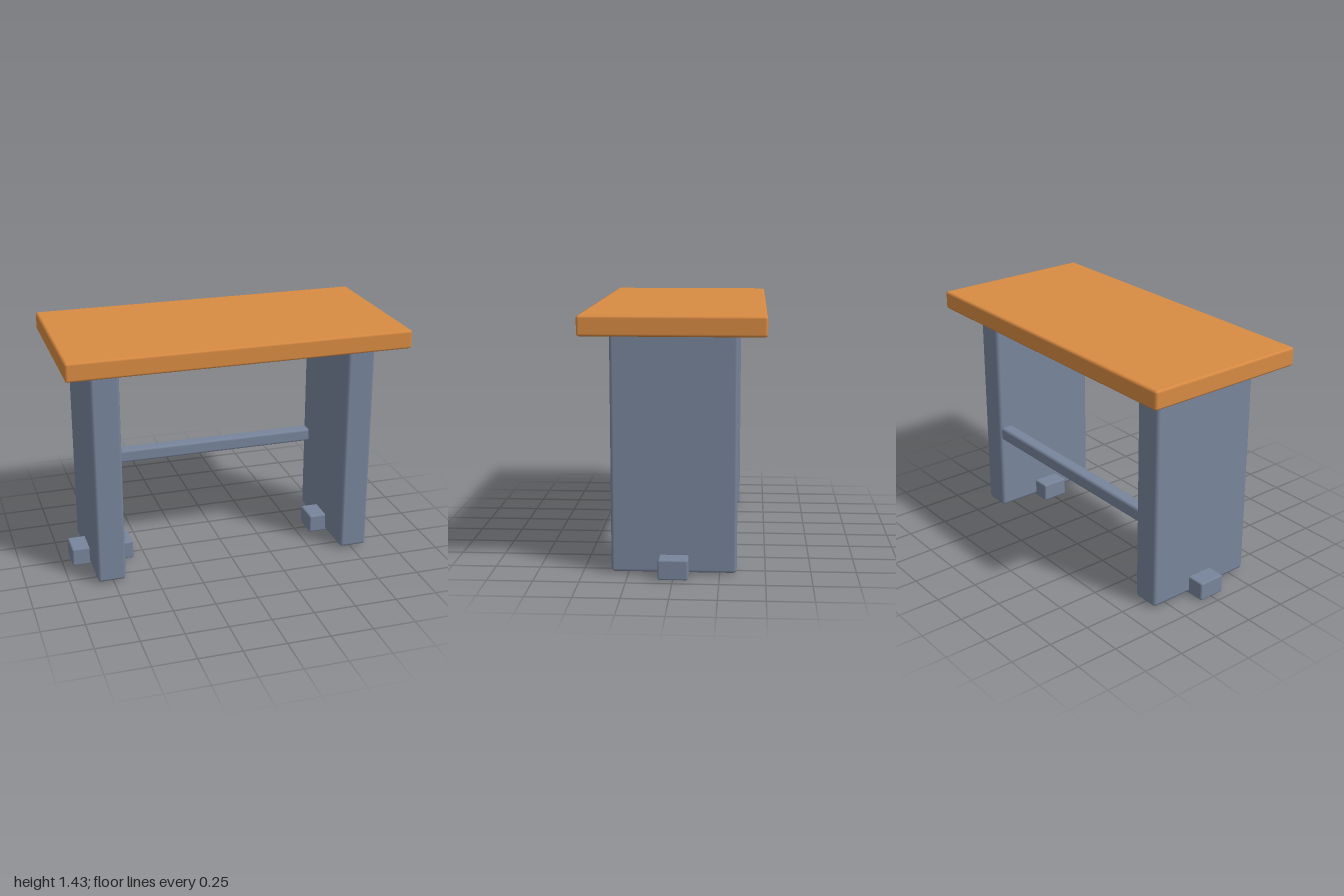
import * as THREE from 'three';
import { RoundedBoxGeometry } from 'three/addons/geometries/RoundedBoxGeometry.js';

export function createModel() {
  const group = new THREE.Group();
  group.name = 'table';

  const wood = new THREE.MeshStandardMaterial({ color: 0xd98b43 });
  wood.name = 'orange wood';
  const metal = new THREE.MeshStandardMaterial({ color: 0x78859c });
  metal.name = 'grey blue metal';

  // Bevelled box given by its minimum and maximum corners
  function block(name, min, max, bevel, material) {
    const size = max.map((v, i) => v - min[i]);
    const mesh = new THREE.Mesh(new RoundedBoxGeometry(...size, 1, bevel), material);
    mesh.position.set(...max.map((v, i) => (v + min[i]) / 2));
    mesh.name = name;
    group.add(mesh);
  }

  // Table top
  block('tableTop', [-1, 1.32, -0.495], [1, 1.43, 0.495], 0.015, wood);

  // Slab legs, each with a foot passing through its base
  for (const [side, x] of [['left', 0.76], ['right', -0.76]]) {
    block(side + 'Leg', [x - 0.083, 0.01, -0.343], [x + 0.083, 1.322, 0.343], 0.018, metal);
    block(side + 'Foot', [x - 0.187, 0, -0.082], [x + 0.187, 0.112, 0.082], 0.01, metal);
  }

  // Cross bar joining the legs near the back
  block('crossBar', [-0.69, 0.485, -0.333], [0.69, 0.567, -0.25], 0.016, metal);

  return group;
}
